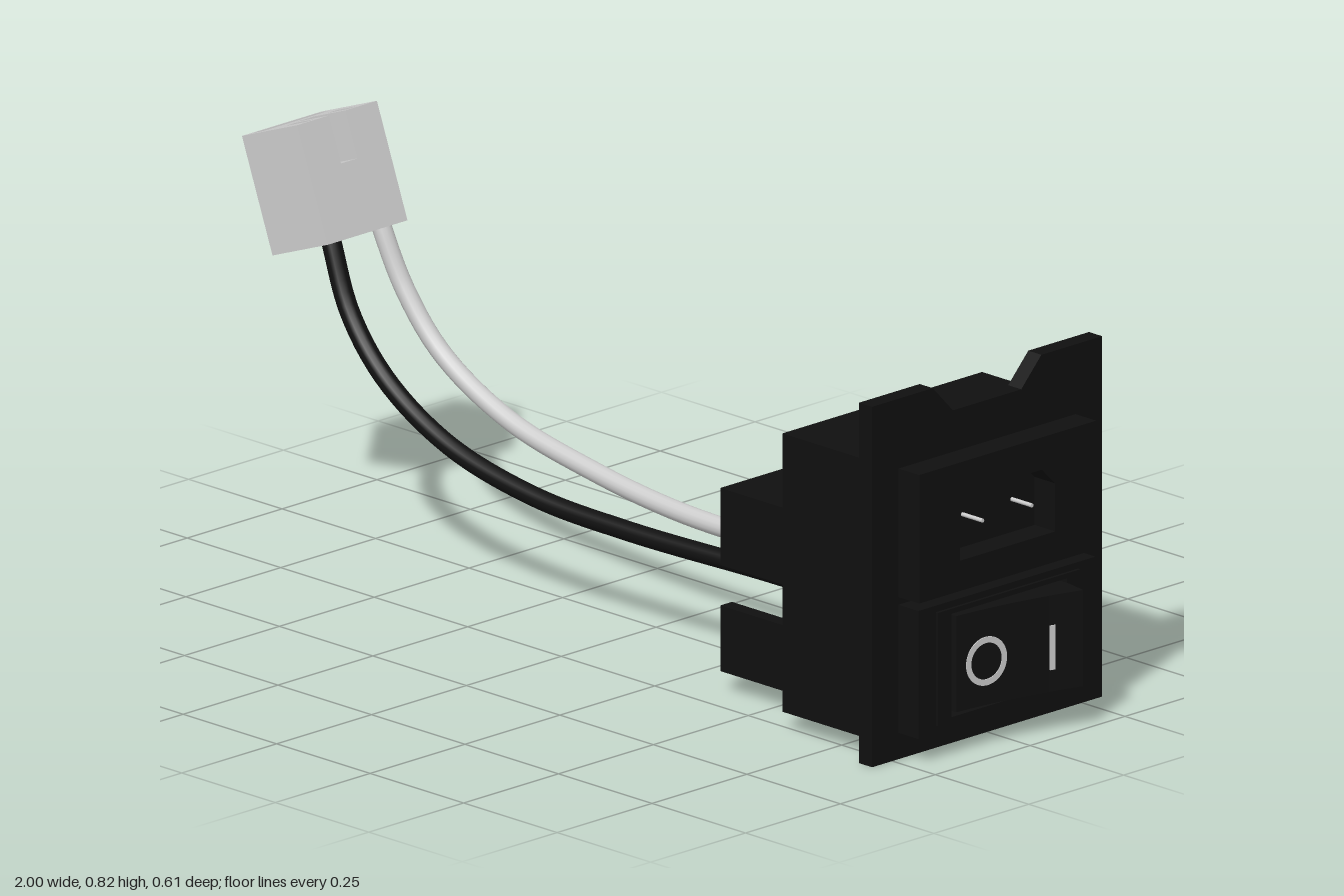
import * as THREE from 'three';

const black = new THREE.MeshStandardMaterial({ color: 0x101010 });
const grey = new THREE.MeshStandardMaterial({ color: 0xcccccc });

function add(parent, name, geometry, material) {
  const mesh = new THREE.Mesh(geometry, material);
  mesh.name = name;
  parent.add(mesh);
  return mesh;
}

// Box given by its limits on each axis
function block(parent, name, [x0, x1], [y0, y1], [z0, z1], material = black) {
  const mesh = add(parent, name, new THREE.BoxGeometry(x1 - x0, y1 - y0, z1 - z0), material);
  mesh.position.set((x0 + x1) / 2, (y0 + y1) / 2, (z0 + z1) / 2);
  return mesh;
}

const poly = (points) => new THREE.Shape(points.map(([a, b]) => new THREE.Vector2(a, b)));
const rect = (a0, a1, b0, b1) => poly([[a0, b0], [a1, b0], [a1, b1], [a0, b1]]);

function withHoles(shape, ...holes) {
  shape.holes.push(...holes);
  return shape;
}

// Shape drawn in (-z, y), extruded from x0 to x1
function extrudeX(shape, x0, x1) {
  const g = new THREE.ExtrudeGeometry(shape, { depth: x1 - x0, bevelEnabled: false, curveSegments: 24 });
  return g.rotateY(Math.PI / 2).translate(x0, 0, 0);
}

// Shape drawn in (x, -z), extruded from y0 to y1
function extrudeY(shape, y0, y1) {
  const g = new THREE.ExtrudeGeometry(shape, { depth: y1 - y0, bevelEnabled: false, curveSegments: 16 });
  return g.rotateX(-Math.PI / 2).translate(0, y0, 0);
}

function buildHousing(root) {
  const housing = new THREE.Group();
  housing.name = 'housing';
  root.add(housing);

  // Mounting plate with a notch in its top edge
  add(housing, 'mountingPlate', extrudeX(poly([
    [-0.303, 0], [0.303, 0], [0.303, 0.712], [0.143, 0.712],
    [0.09, 0.656], [-0.09, 0.656], [-0.143, 0.712], [-0.303, 0.712],
  ]), 0.85, 0.885), black);
  block(housing, 'mainBody', [0.605, 0.85], [0.035, 0.585], [-0.263, 0.263]);

  // Open rear shroud, slotted in the left wall and the floor
  const rear = [0.36, 0.606], t = 0.03, w = 0.185;
  block(housing, 'shroudTop', rear, [0.37, 0.402], [-w, w]);
  block(housing, 'shroudRightWall', rear, [0.04, 0.37], [-w, -w + t]);
  block(housing, 'shroudLeftWallUpper', rear, [0.25, 0.37], [w - t, w]);
  block(housing, 'shroudLeftWallLower', rear, [0.04, 0.17], [w - t, w]);
  for (const s of [-1, 1]) {
    const z = [s * 0.075, s * (w - t)].sort((a, b) => a - b);
    block(housing, 'shroudFloor', rear, [0.04, 0.07], z);
    block(housing, 'terminal', [0.5, 0.606], [0.17, 0.25], [s * 0.07 - 0.03, s * 0.07 + 0.03]);
  }

  // Power inlet with recessed pins
  const cavity = poly([
    [-0.125, 0.38], [0.125, 0.38], [0.125, 0.475], [0.09, 0.51], [-0.09, 0.51], [-0.125, 0.475],
  ]);
  add(housing, 'inletFrame',
    extrudeX(withHoles(rect(-0.233, 0.233, 0.32, 0.574), cavity), 0.885, 0.94), black);
  for (const z of [-0.065, 0.065]) {
    const pin = add(housing, 'inletPin', new THREE.CylinderGeometry(0.004, 0.004, 0.055, 10), grey);
    pin.rotation.z = Math.PI / 2;
    pin.position.set(0.912, 0.445, z);
  }
}

function buildSwitch(root) {
  const rocker = new THREE.Group();
  rocker.name = 'rockerSwitch';
  root.add(rocker);

  add(rocker, 'switchBase', extrudeX(
    withHoles(rect(-0.233, 0.233, 0.052, 0.305), rect(-0.187, 0.187, 0.068, 0.292)), 0.885, 0.938), black);
  add(rocker, 'switchBezel', extrudeX(
    withHoles(rect(-0.187, 0.187, 0.068, 0.292), rect(-0.152, 0.152, 0.078, 0.282)), 0.885, 0.944), black);

  // Rocker with a curved face, tipped forward at its right end
  const [xa, xc, xb, half] = [0.945, 0.955, 1.0, 0.14];
  const profile = new THREE.Shape();
  profile.moveTo(0.886, -0.145);
  profile.lineTo(0.886, 0.148);
  profile.lineTo(0.955, 0.148);
  profile.lineTo(xb, half);
  profile.quadraticCurveTo(xc, 0, xa, -half);
  add(rocker, 'rocker', extrudeY(profile, 0.085, 0.275), black);

  // Raised marks that follow the slope of the rocker face
  function mark(name, shape, u) {
    const t = (u + half) / (2 * half);
    const x = (1 - t) ** 2 * xa + 2 * t * (1 - t) * xc + t * t * xb;
    const slope = (2 * (1 - t) * (xc - xa) + 2 * t * (xb - xc)) / (2 * half);
    const mesh = add(rocker, name, extrudeX(shape, -0.003, 0.002), grey);
    mesh.position.set(x, 0.172, -u);
    mesh.rotation.y = -Math.atan(slope);
  }
  const ring = new THREE.Shape().absarc(0, 0, 0.048, 0, Math.PI * 2);
  const hole = new THREE.Path().absarc(0, 0, 0.036, 0, Math.PI * 2, true);
  mark('offMark', withHoles(ring, hole), -0.069);
  mark('onMark', rect(-0.006, 0.006, -0.044, 0.044), 0.077);
}

function buildCables(root) {
  const path = [
    [0.6, 0.21], [0.36, 0.21], [0, 0.207], [-0.25, 0.22], [-0.48, 0.27],
    [-0.65, 0.36], [-0.75, 0.465], [-0.806, 0.59], [-0.835, 0.66],
  ];
  const spread = [0.065, 0.066, 0.074, 0.08, 0.08, 0.076, 0.069, 0.062, 0.06];
  for (const [name, side, lift, material] of [['blackCable', 1, 0, black], ['lightCable', -1, 0.012, grey]]) {
    const points = path.map(([x, y], i) => new THREE.Vector3(
      x + lift * (i > 5 ? 0.8 : 0), y + (i > 2 && i < 7 ? lift : 0), side * spread[i]));
    add(root, name, new THREE.TubeGeometry(new THREE.CatmullRomCurve3(points), 64, 0.019, 14), material);
  }
}

function buildConnector(root) {
  const plug = new THREE.Group();
  plug.name = 'plug';
  plug.position.set(-0.886, 0.68, 0);
  plug.rotation.z = 0.36;
  root.add(plug);

  const w = 0.079, d = 0.105, h = 0.116;
  // Hollow cable end and solid middle
  add(plug, 'plugCableEnd', extrudeY(
    withHoles(rect(-w, w, -d, d), rect(-0.02, 0.067, -0.09, 0.09)), -h, -0.05), grey);
  block(plug, 'plugMiddle', [-w, w], [-0.05, 0.023], [-d, d], grey);

  // Mating end with key notch, two contact slots and a latch slot
  const k = 0.022;
  const face = poly([[-w, -d], [w, -d], [w, -k], [-0.01, -k], [-0.01, k], [w, k], [w, d], [-w, d]]);
  const contacts = [-1, 1].map((s) => rect(0.006, 0.062, s * 0.055 - 0.013, s * 0.055 + 0.013));
  add(plug, 'plugMatingEnd',
    extrudeY(withHoles(face, ...contacts, rect(-0.07, -0.038, -0.088, 0.088)), 0.023, h), grey);
  for (const s of [-1, 1]) {
    block(plug, 'plugContact', [0.012, 0.03], [0.023, 0.09], [s * 0.055 - 0.008, s * 0.055 + 0.008], grey);
  }
}

export function createModel() {
  const root = new THREE.Group();
  root.name = 'switchedInlet';
  buildHousing(root);
  buildSwitch(root);
  buildCables(root);
  buildConnector(root);
  return root;
}
